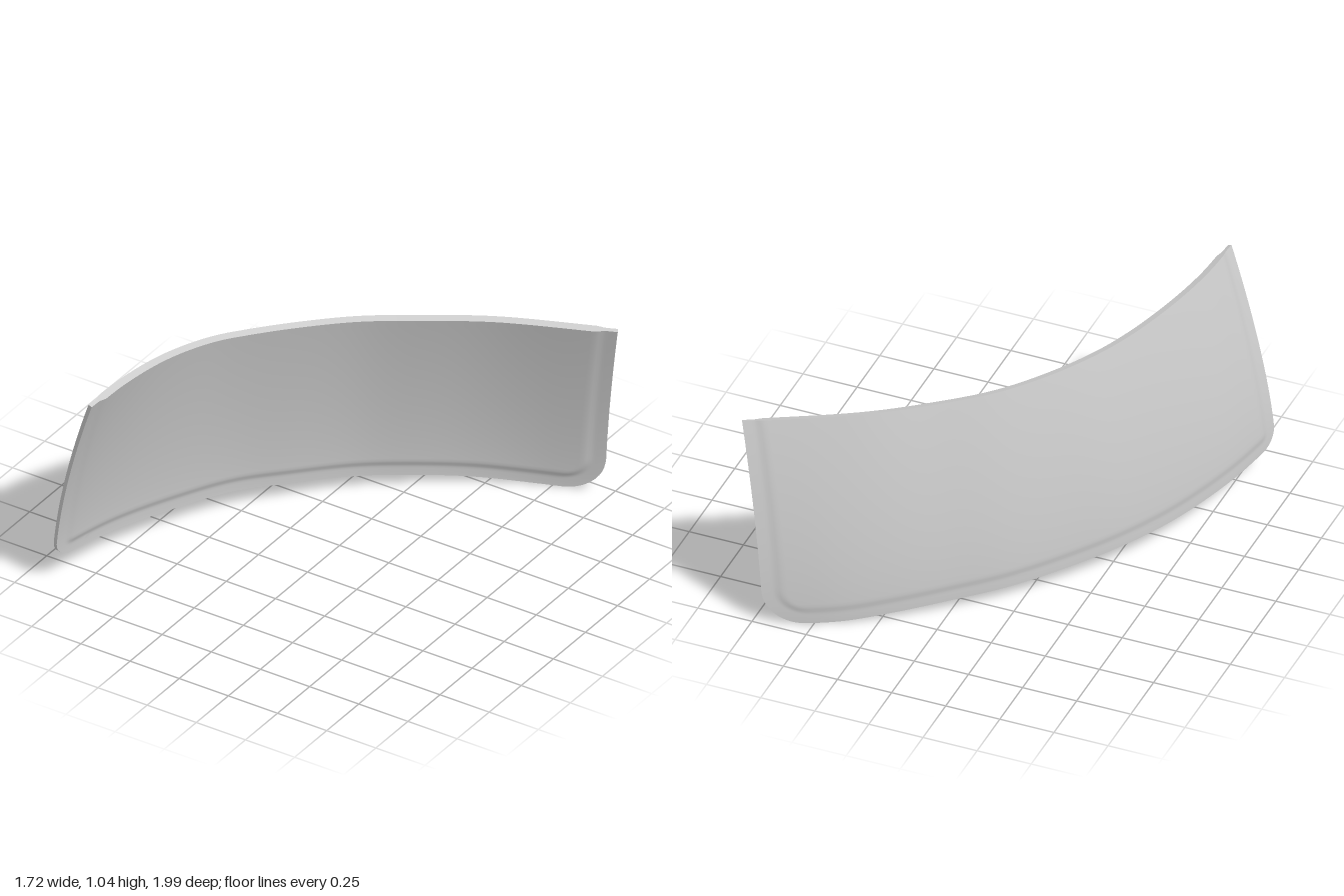
import * as THREE from 'three';
import { toCreasedNormals } from 'three/addons/utils/BufferGeometryUtils.js';

const curve = (pts) => new THREE.CatmullRomCurve3(pts.map((p) => new THREE.Vector3(...p)));

// upper and lower edges of the panel, from the front end to the back end
const topEdge = curve([
  [-0.63, 1.04, 1.0], [-0.615, 1.045, 0.75], [-0.57, 1.045, 0.5], [-0.49, 1.03, 0.26], [-0.4, 1.01, 0.09],
  [-0.26, 0.99, -0.11], [-0.09, 0.975, -0.3], [0.14, 0.963, -0.48], [0.38, 0.955, -0.64], [0.85, 0.937, -0.87],
]);
const bottomEdge = curve([
  [-0.87, 0.13, 0.91], [-0.8, 0.12, 0.58], [-0.68, 0.105, 0.25], [-0.55, 0.1, 0], [-0.4, 0.085, -0.2],
  [-0.2, 0.07, -0.43], [0, 0.055, -0.6], [0.2, 0.035, -0.75], [0.4, 0.012, -0.87], [0.7, 0, -1.0],
]);

const LENGTH = 2.35, HEIGHT = 0.95;
const RADIUS_FRONT = 0.09, RADIUS_BACK = 0.17;
const THICKNESS = 0.034;

// convex face: u runs along the panel, v from top to bottom with an outward bulge
function surface(u, v) {
  const a = topEdge.getPointAt(THREE.MathUtils.clamp(u, 0, 1));
  const b = bottomEdge.getPointAt(THREE.MathUtils.clamp(u, 0, 1));
  const f = 1 - Math.pow(Math.max(0, 1 - v), 1.5);
  return new THREE.Vector3(
    a.x + (b.x - a.x) * f, a.y + (b.y - a.y) * v, a.z + (b.z - a.z) * f);
}

function surfaceNormal(u, v) {
  const e = 0.004;
  const u0 = Math.max(0, u - e), u1 = Math.min(1, u + e);
  const v0 = Math.max(0, v - e), v1 = Math.min(1, v + e);
  const du = surface(u1, v).sub(surface(u0, v));
  const dv = surface(u, v1).sub(surface(u, v0));
  return du.cross(dv).normalize();
}

// how far a rounded lower corner pulls in the end of a row
const inset = (d, r) => (d < r ? r - Math.sqrt(r * r - (r - d) * (r - d)) : 0);

// distance from a point to the rounded outline near one end
const edgeDistance = (a, d, r) =>
  (a < r && d < r ? r - Math.hypot(r - a, r - d) : Math.min(a, d));

function panelGeometry(cols = 90, rows = 44) {
  const outer = [], inner = [], index = [];
  for (let j = 0; j <= rows; j++) {
    const v = Math.sin((j / rows) * Math.PI / 2);
    const d = (1 - v) * HEIGHT;
    const start = inset(d, RADIUS_FRONT) / LENGTH;
    const end = 1 - inset(d, RADIUS_BACK) / LENGTH;
    for (let i = 0; i <= cols; i++) {
      const u = start + (end - start) * (0.5 - 0.5 * Math.cos((i / cols) * Math.PI));
      const dist = Math.min(
        edgeDistance(u * LENGTH, d, RADIUS_FRONT),
        edgeDistance((1 - u) * LENGTH, d, RADIUS_BACK));
      // thinner border band along both ends and the bottom
      const band = 1 - THREE.MathUtils.smoothstep(dist, 0.05, 0.085);
      const p = surface(u, v), n = surfaceNormal(u, v);
      outer.push(...p.clone().addScaledVector(n, -0.006 * band).toArray());
      inner.push(...p.clone().addScaledVector(n, -THICKNESS + 0.01 * band).toArray());
    }
  }
  const w = cols + 1, back = w * (rows + 1);
  const at = (i, j) => j * w + i;

  // convex and concave faces
  for (let j = 0; j < rows; j++) {
    for (let i = 0; i < cols; i++) {
      const a = at(i, j), b = at(i + 1, j), c = at(i, j + 1), e = at(i + 1, j + 1);
      index.push(a, b, c, b, e, c);
      index.push(back + a, back + c, back + b, back + b, back + c, back + e);
    }
  }

  // rim joining the two faces
  const loop = [];
  for (let i = 0; i < cols; i++) loop.push(at(i, 0));
  for (let j = 0; j < rows; j++) loop.push(at(cols, j));
  for (let i = cols; i > 0; i--) loop.push(at(i, rows));
  for (let j = rows; j > 0; j--) loop.push(at(0, j));
  loop.forEach((p, k) => {
    const q = loop[(k + 1) % loop.length];
    index.push(q, p, back + p, q, back + p, back + q);
  });

  const geometry = new THREE.BufferGeometry();
  geometry.setAttribute('position', new THREE.Float32BufferAttribute([...outer, ...inner], 3));
  geometry.setIndex(index);
  return toCreasedNormals(geometry, 0.8);
}

export function createModel() {
  const model = new THREE.Group();
  model.name = 'curvedPanel';
  const panel = new THREE.Mesh(
    panelGeometry(), new THREE.MeshStandardMaterial({ color: 0xcccccc }));
  panel.name = 'panelShell';
  model.add(panel);
  return model;
}
